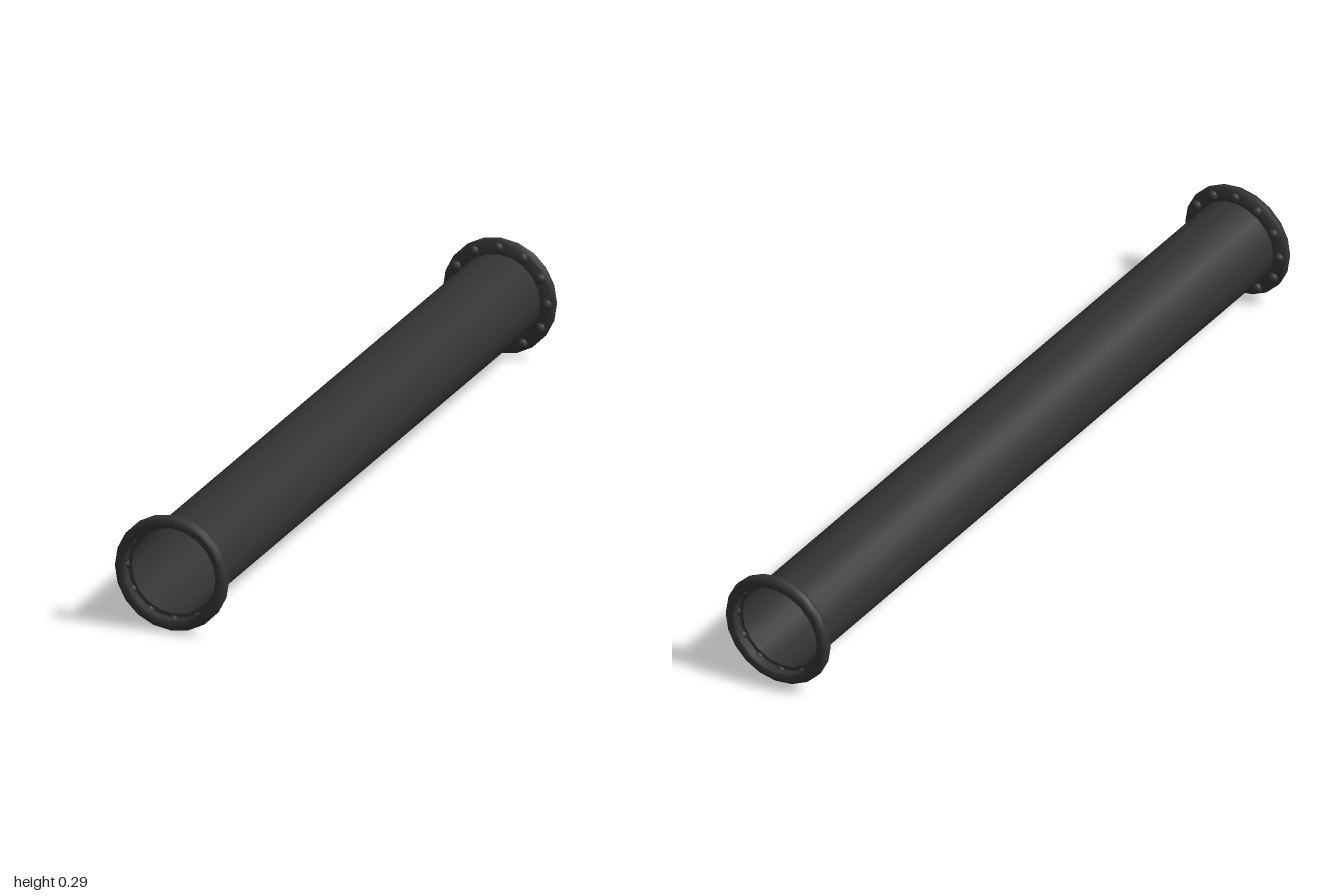
import * as THREE from 'three';
import { toCreasedNormals } from 'three/addons/utils/BufferGeometryUtils.js';

const SIDES = 20;
const CENTRE_Y = 0.146;
const PIPE_R = 0.108;
const PLATE_Z = 0.972;
const BOLTS = 12;

const material = new THREE.MeshStandardMaterial({ color: 0x333333, side: THREE.DoubleSide });

// Surface of revolution around the z axis, from [radius, z] pairs
function revolve(name, profile) {
  const points = profile.map(([r, z]) => new THREE.Vector2(r, z));
  const geometry = new THREE.LatheGeometry(points, SIDES).rotateX(Math.PI / 2);
  const mesh = new THREE.Mesh(toCreasedNormals(geometry, 0.9), material);
  mesh.name = name;
  return mesh;
}

// Rounded collar with a ring of domed bolts on its inward face
function makeFlange(name) {
  const flange = new THREE.Group();
  flange.name = name;
  flange.add(revolve('collar', [
    [PIPE_R, PLATE_Z], [0.139, PLATE_Z], [0.1445, 0.977], [0.1445, 0.988],
    [0.14, 0.996], [0.133, 1], [0.124, 1], [0.118, 0.996], [0.118, PLATE_Z],
  ]));
  const boltGeometry = new THREE.SphereGeometry(0.013, 10, 8);
  for (let i = 0; i < BOLTS; i++) {
    const a = (i / BOLTS) * Math.PI * 2;
    const bolt = new THREE.Mesh(boltGeometry, material);
    bolt.name = 'bolt';
    bolt.position.set(Math.cos(a) * 0.125, Math.sin(a) * 0.125, PLATE_Z);
    flange.add(bolt);
  }
  return flange;
}

export function createModel() {
  const model = new THREE.Group();
  model.name = 'flangedPipe';

  // Open thin-walled tube
  const pipe = revolve('pipe', [[PIPE_R, -PLATE_Z], [PIPE_R, PLATE_Z]]);

  // Matching flange on each end
  const front = makeFlange('frontFlange');
  const back = makeFlange('backFlange');
  back.rotation.y = Math.PI;

  model.add(pipe, front, back);
  for (const part of model.children) part.position.y = CENTRE_Y;
  return model;
}
